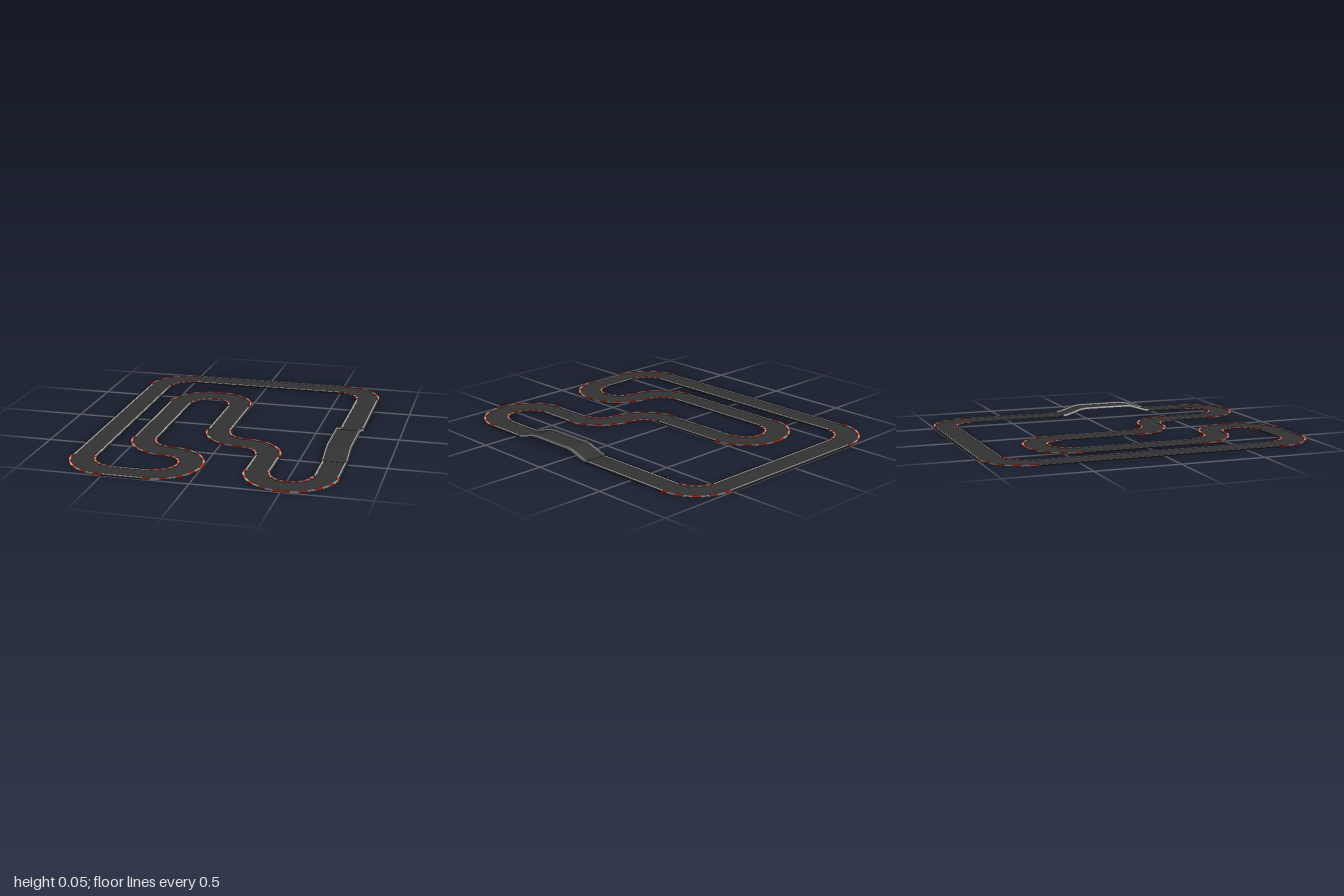
import * as THREE from 'three';
import { mergeGeometries } from 'three/addons/utils/BufferGeometryUtils.js';

const R = 0.193;      // centreline radius of every bend
const STEPS = 9;      // facets (and kerb stripes) per quarter turn
const HALF = 0.078;   // half width of the track

const mat = (color) => new THREE.MeshStandardMaterial({ color, flatShading: true });
const asphalt = mat(0x333333), white = mat(0xb4b4b4), red = mat(0xe03a22);

// Path point: position plus sideways direction (tangent x up)
const point = (x, z, tx, tz, y = 0) => ({ x, y, z, nx: -tz, nz: tx });

function straight(x0, z0, x1, z1) {
  const l = Math.hypot(x1 - x0, z1 - z0), tx = (x1 - x0) / l, tz = (z1 - z0) / l;
  return [point(x0, z0, tx, tz), point(x1, z1, tx, tz)];
}

function arc(cx, cz, from, to) {
  const n = Math.round(Math.abs(to - from) / 90) * STEPS, s = Math.sign(to - from);
  return Array.from({ length: n + 1 }, (_, i) => {
    const a = THREE.MathUtils.degToRad(from + ((to - from) * i) / n);
    return point(cx + R * Math.cos(a), cz + R * Math.sin(a), -s * Math.sin(a), s * Math.cos(a));
  });
}

// Sweep a rectangular section (sideways u0..u1, height v0..v1) along a path
function sweep(path, u0, u1, v0, v1) {
  const section = [[u0, v0], [u1, v0], [u1, v1], [u0, v1]];
  const rings = path.map((p) => section.map(([u, v]) => [p.x + p.nx * u, p.y + v, p.z + p.nz * u]));
  const pos = [];
  const quad = (a, b, c, d) => pos.push(...a, ...b, ...c, ...a, ...c, ...d);
  for (let i = 0; i < rings.length - 1; i++) {
    const A = rings[i], B = rings[i + 1];
    for (let k = 0; k < 4; k++) {
      const j = (k + 1) % 4;
      quad(A[k], B[k], B[j], A[j]);
    }
  }
  quad(...rings[0]);
  quad(...[...rings[rings.length - 1]].reverse());
  const g = new THREE.BufferGeometry();
  g.setAttribute('position', new THREE.Float32BufferAttribute(pos, 3));
  g.computeVertexNormals();
  return g;
}

function add(group, name, geometries, material) {
  const mesh = new THREE.Mesh(mergeGeometries(geometries), material);
  mesh.name = name;
  group.add(mesh);
}

// Flat piece with a painted line along both edges
function straightPiece(path) {
  const g = new THREE.Group();
  g.name = 'straight';
  add(g, 'road', [sweep(path, -HALF, HALF, 0, 0.004)], asphalt);
  add(g, 'edgeLines', [sweep(path, -0.068, -0.059, 0.003, 0.006), sweep(path, 0.059, 0.068, 0.003, 0.006)], white);
  return g;
}

// Bend with raised striped kerbs
function bendPiece(path) {
  const g = new THREE.Group();
  g.name = 'bend';
  add(g, 'road', [sweep(path, -0.076, 0.076, 0, 0.004)], asphalt);
  const stripes = [[], []];
  for (let i = 0; i < path.length - 1; i++) {
    const part = path.slice(i, i + 2);
    stripes[(i % STEPS) % 2].push(sweep(part, -HALF, -0.063, 0.001, 0.008), sweep(part, 0.063, HALF, 0.001, 0.008));
  }
  add(g, 'redKerbs', stripes[0], red);
  add(g, 'paleKerbs', stripes[1], white);
  return g;
}

// Humped bridge: thin deck between two side rails
function bridgePiece(x) {
  const profile = [[-0.12, 0], [-0.09, 0.004], [0, 0.033], [0.04, 0.038],
    [0.32, 0.038], [0.36, 0.033], [0.45, 0.004], [0.48, 0]];
  const path = profile.map(([z, y]) => point(x, z, 0, 1, y));
  const g = new THREE.Group();
  g.name = 'bridge';
  add(g, 'deck', [sweep(path, -0.066, 0.066, 0, 0.005)], asphalt);
  add(g, 'rails', [sweep(path, -0.073, -0.063, 0, 0.016), sweep(path, 0.063, 0.073, 0, 0.016)], white);
  return g;
}

export function createModel() {
  const model = new THREE.Group();
  model.name = 'raceTrack';
  const E = 0.729, X = 0.698, Z = E + R;

  // Straights: x0, z0, x1, z1
  [
    [X, -E, X, -0.12], [X, 0.48, X, E],
    [0.312, E, 0.312, 0.48],
    [-0.074, 0.094, -0.074, -0.39],
    [-0.46, -0.39, -0.46, 0.343],
    [-0.267, Z, -0.505, Z],
    [-X, E, -X, -E],
    [-0.505, -Z, 0.505, -Z],
  ].forEach((s) => model.add(straightPiece(straight(...s))));

  // Bends: centre x, centre z, start and end angle
  [
    [0.505, E, 0, 180],
    [0.119, 0.48, 0, -90], [0.119, 0.094, 90, 180],
    [-0.267, -0.39, 0, -180],
    [-0.267, 0.343, 180, 90], [-0.267, E, -90, 90],
    [-0.505, E, 90, 180],
    [-0.505, -E, 180, 270],
    [0.505, -E, -90, 0],
  ].forEach((b) => model.add(bendPiece(arc(...b))));

  model.add(bridgePiece(X));
  return model;
}
